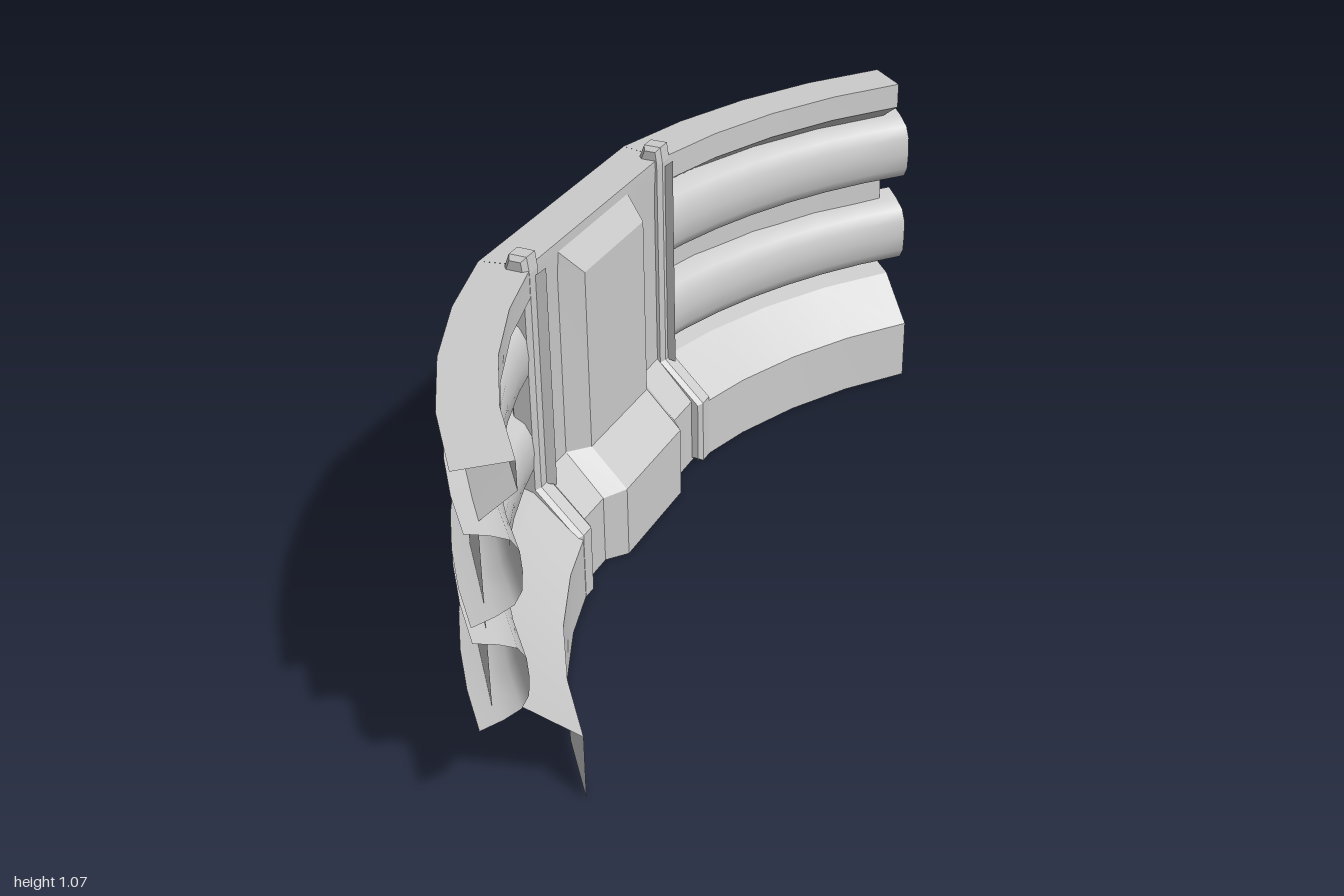
import * as THREE from 'three';
import { toCreasedNormals } from 'three/addons/utils/BufferGeometryUtils.js';

const material = new THREE.MeshStandardMaterial({ color: 0xcccccc, side: THREE.DoubleSide });
const CENTRE = 1.485; // distance from the origin to the centre of the bend
const rad = THREE.MathUtils.degToRad;

// Local frame: x towards the inside of the bend, y up, -z along the barrier.
const onArc = (deg, [r, y]) => [CENTRE - r * Math.cos(rad(deg)), y, -r * Math.sin(rad(deg))];

// Sheet through a list of cross-sections with equal point counts
function sheet(name, sections, crease) {
  const n = sections[0].length, index = [];
  for (let i = 0; i < sections.length - 1; i++) {
    for (let j = 0; j < n - 1; j++) {
      const a = i * n + j, b = a + n;
      index.push(a, b, a + 1, b, b + 1, a + 1);
    }
  }
  const geometry = new THREE.BufferGeometry();
  geometry.setAttribute('position', new THREE.Float32BufferAttribute(sections.flat(2), 3));
  geometry.setIndex(index);
  const mesh = new THREE.Mesh(toCreasedNormals(geometry, crease), material);
  mesh.name = name;
  return mesh;
}

function arcSheet(name, profile, from, to, segments, side, crease) {
  const sections = [];
  for (let i = 0; i <= segments; i++) {
    const deg = side * (from + (to - from) * i / segments);
    sections.push(profile.map((p) => onArc(deg, p)));
  }
  return sheet(name, sections, crease);
}

// Profiles as [radius, height]
const wallProfile = [[1.78, 0], [1.78, 0.2], [1.925, 0.33], [2.0, 0.345], [2.0, 0.885],
  [1.905, 0.95], [1.905, 1.03], [2.055, 1.03]];
const railProfile = [[2.045, 0.13], [1.985, 0.112], [1.94, 0.09], [1.92, 0.055], [1.916, 0],
  [1.92, -0.055], [1.94, -0.09], [1.985, -0.112], [2.045, -0.13]];

// Flat middle section with a raised panel
function middleWall() {
  const plain = [[-0.272, 0], [-0.272, 0.22], [-0.39, 0.35], [-0.39, 0.92], [-0.385, 1.0],
    [-0.385, 1.03], [-0.523, 1.03]];
  const raised = [[-0.223, 0], [-0.223, 0.23], [-0.336, 0.35], [-0.336, 0.92], [-0.385, 1.0],
    [-0.385, 1.03], [-0.523, 1.03]];
  const section = (profile, u) => profile.map(([v, y], j) =>
    [v, y, -(Math.abs(u) === 0.403 && j === 6 ? Math.sign(u) * 0.434 : u)]);
  return sheet('middleWall', [
    section(plain, -0.403), section(plain, -0.243), section(raised, -0.184),
    section(raised, 0.184), section(plain, 0.243), section(plain, 0.403),
  ], 0.3);
}

// Upright that follows the wall's foot, with chamfered edges
function post(side) {
  const outline = [[-0.25, 0.012], [-0.25, 0.21], [-0.38, 0.34], [-0.38, 1.02], [-0.385, 1.058],
    [-0.42, 1.058], [-0.435, 1.02], [-0.435, 0.33], [-0.3, 0.2], [-0.3, 0.012]];
  const shape = new THREE.Shape(outline.map(([v, y]) => new THREE.Vector2(v, y)));
  const geometry = new THREE.ExtrudeGeometry(shape, {
    depth: 0.046, bevelEnabled: true, bevelThickness: 0.015, bevelSize: 0.012, bevelSegments: 1,
  });
  geometry.translate(0, 0, -0.023);
  const mesh = new THREE.Mesh(geometry, material);
  mesh.name = 'post';
  mesh.position.z = -side * 0.408;
  return mesh;
}

export function createModel() {
  const model = new THREE.Group();
  model.name = 'curvedBarrier';
  const barrier = new THREE.Group();
  barrier.name = 'barrier';
  barrier.rotation.y = -Math.PI / 4;
  model.add(barrier);

  barrier.add(middleWall());
  for (const side of [1, -1]) {
    barrier.add(arcSheet('curvedWall', wallProfile, 12.2, 41.9, 4, side, 0.5));

    // Two hollow rails with lips reaching behind the wall
    for (const height of [0.77, 0.465]) {
      const profile = railProfile.map(([r, y]) => [r, y + height]);
      barrier.add(arcSheet('rail', profile, 11.8, 43.6, 7, side, Math.PI));
    }

    // Plate joining the middle section to the recessed wall
    barrier.add(sheet('endPlate', [
      [[1.865, 0.34], [1.865, 1.03]].map((p) => onArc(side * 12.2, p)),
      [[2.02, 0.34], [2.02, 0.9]].map((p) => onArc(side * 12.2, p)),
    ], 0.3));

    barrier.add(post(side));
  }
  return model;
}
